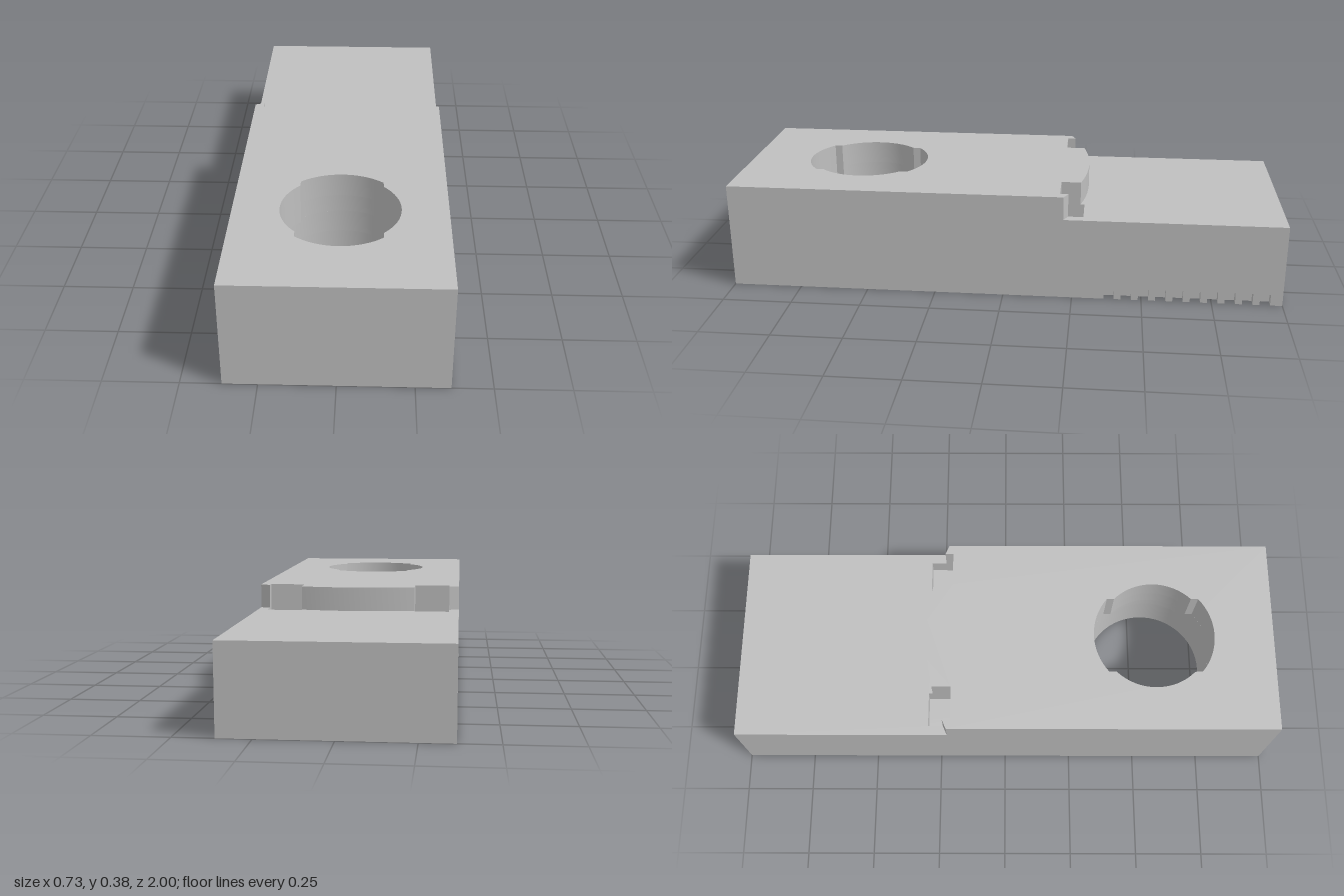
import * as THREE from 'three';
import { toCreasedNormals } from 'three/addons/utils/BufferGeometryUtils.js';

const W = 0.365, L = 1;            // half width, half length
const HOLE_Z = 0.555;              // centre of the round hole
const V = (x, z) => new THREE.Vector2(x, -z);

// closed rectangle in plan
const rect = (x0, x1, z0, z1) => [V(x0, z1), V(x1, z1), V(x1, z0), V(x0, z0)];

// points of an arc around the hole centre, angles in degrees
function arc(r, a0, a1, n) {
  const pts = [];
  for (let i = 0; i <= n; i++) {
    const a = THREE.MathUtils.degToRad(a0 + (a1 - a0) * i / n);
    pts.push(V(r * Math.cos(a), HOLE_Z - r * Math.sin(a)));
  }
  return pts;
}
const circle = (r) => arc(r, 0, 360, 64).slice(0, -1);

// round hole narrowed by a lug on either side
const keyedHole = () => [
  ...arc(0.205, -45, 45, 16), ...arc(0.225, 50, 130, 16),
  ...arc(0.205, 135, 225, 16), ...arc(0.225, 230, 310, 16),
];

export function createModel() {
  const group = new THREE.Group();
  const grey = new THREE.MeshStandardMaterial({ color: 0xbfbfbf });
  grey.name = 'plain grey';

  // horizontal layer between two heights
  function layer(name, outline, holes, y0, y1) {
    const shape = new THREE.Shape(outline);
    holes.forEach((h) => shape.holes.push(new THREE.Path(h)));
    let geo = new THREE.ExtrudeGeometry(shape, { depth: y1 - y0, bevelEnabled: false });
    geo.rotateX(-Math.PI / 2);
    geo.translate(0, y0, 0);
    geo = toCreasedNormals(geo, Math.PI / 7);
    const mesh = new THREE.Mesh(geo, grey);
    mesh.name = name;
    group.add(mesh);
  }

  const body = rect(-W, W, -L, L);
  const cavity = rect(-0.3, 0.3, -0.935, 0.935);

  // bottom rim with ten grip notches along one side
  const notched = [V(-W, L), V(W, L)];
  for (let i = 0; i < 10; i++) {
    const z = -0.365 - i * 0.0617;
    notched.push(V(W, z), V(W - 0.032, z), V(W - 0.032, z - 0.037), V(W, z - 0.037));
  }
  notched.push(V(W, -L), V(-W, -L));
  layer('notchedRim', notched, [cavity], 0, 0.042);
  layer('wall', body, [cavity], 0.042, 0.15);

  // tube under the hole
  layer('holeTube', circle(0.2925), [circle(0.225)], 0, 0.15);

  // solid deck, with the lugs and square sockets in its upper part
  layer('lowerDeck', body, [circle(0.225)], 0.15, 0.235);
  const sockets = [rect(0.205, 0.33, -0.285, -0.2), rect(-0.33, -0.205, -0.285, -0.2)];
  layer('upperDeck', body, [keyedHole(), ...sockets], 0.235, 0.3);

  // raised front platform with a bowed rear edge and two slots
  const R = 0.873;
  const edge = (x) => V(x, R - 0.295 - Math.sqrt(R * R - x * x));
  const raised = [V(-W, L), V(W, L), edge(W), edge(0.33), V(0.33, -0.2), V(0.205, -0.2)];
  for (let i = 0; i <= 20; i++) raised.push(edge(0.205 - 0.41 * i / 20));
  raised.push(V(-0.205, -0.2), V(-0.33, -0.2), edge(-0.33), edge(-W));
  layer('raisedPlatform', raised, [keyedHole()], 0.3, 0.385);

  return group;
}
